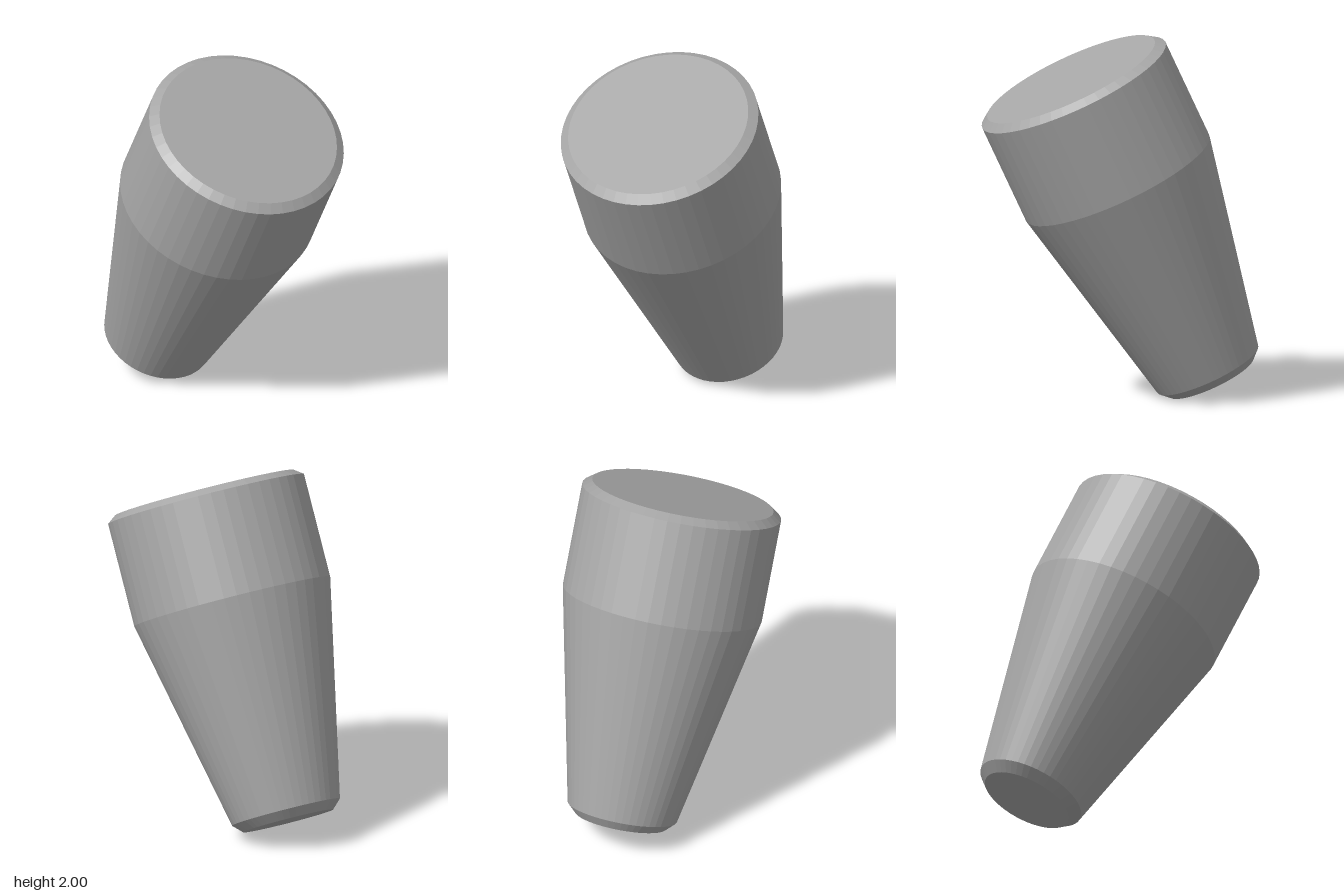
import * as THREE from 'three';

export function createModel() {
  const group = new THREE.Group();
  const gray = new THREE.MeshStandardMaterial({ color: 0xa6a6a6, flatShading: true });
  gray.name = 'plain gray';

  // Profile: bottom cap, chamfer, taper, shoulder, straight wall, chamfer, top cap
  const profile = [
    [0, 0], [0.254, 0], [0.305, 0.05], [0.554, 1.24], [0.554, 1.819], [0.505, 1.855], [0, 1.855],
  ].map(([r, h]) => new THREE.Vector2(r, h));

  const peg = new THREE.Mesh(new THREE.LatheGeometry(profile, 48), gray);
  peg.name = 'taperedPeg';
  // Lean towards +x so the lower rim rests on the ground
  peg.rotation.z = -THREE.MathUtils.degToRad(25.3);
  peg.position.set(-0.515, 0.1085, 0);
  group.add(peg);
  return group;
}
